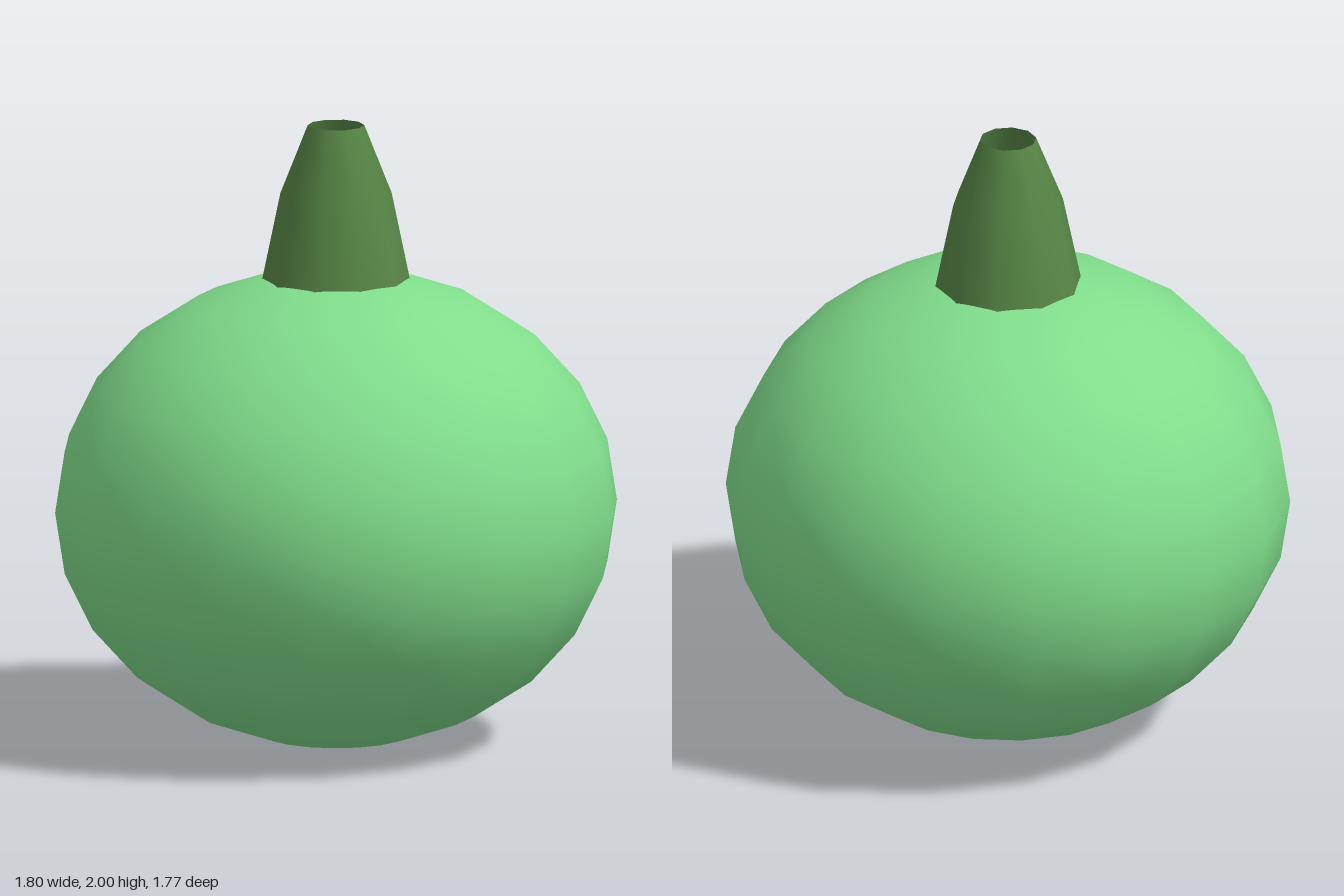
import * as THREE from 'three';

export function createModel() {
  const model = new THREE.Group();
  const bodyGreen = new THREE.MeshStandardMaterial({ color: 0x80dd8b });
  bodyGreen.name = 'lightGreen';
  const stemGreen = new THREE.MeshStandardMaterial({ color: 0x568545, side: THREE.DoubleSide });
  stemGreen.name = 'darkGreen';

  // Squashed round body
  const bodyShape = new THREE.SphereGeometry(0.9, 18, 12);
  bodyShape.scale(1, 0.85, 1);
  bodyShape.translate(0, 0.765, 0);
  const body = new THREE.Mesh(bodyShape, bodyGreen);
  body.name = 'body';

  // Hollow tapering stem, open at the top
  const profile = [[0.235, 1.5], [0.177, 1.78], [0.09, 2]].map(([r, y]) => new THREE.Vector2(r, y));
  const stem = new THREE.Mesh(new THREE.LatheGeometry(profile, 10), stemGreen);
  stem.name = 'stem';

  model.add(body, stem);
  return model;
}
